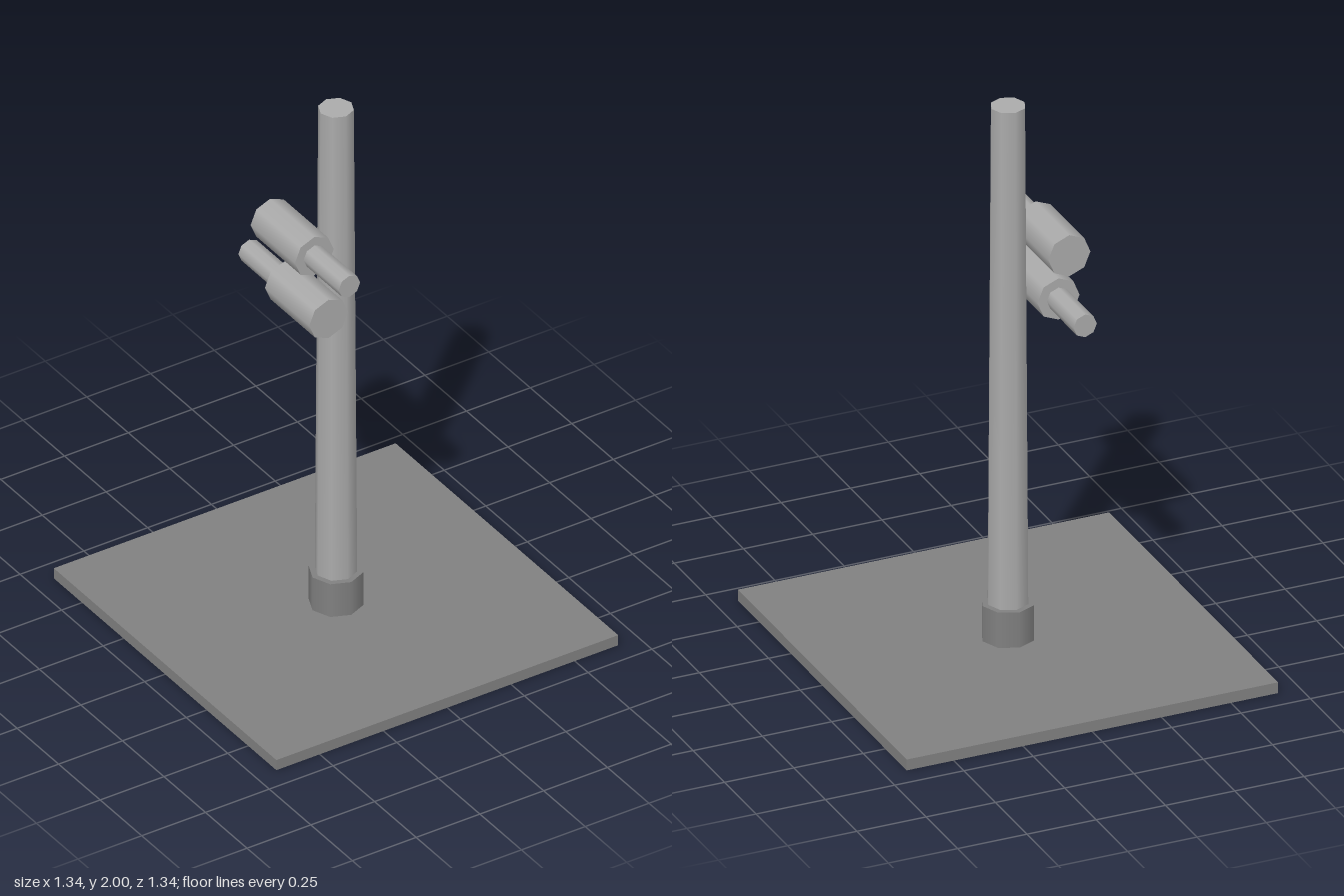
import * as THREE from 'three';

export function createModel() {
  const model = new THREE.Group();
  model.name = 'postWithBarrels';

  const darkGrey = new THREE.MeshStandardMaterial({ color: 0x808080, side: THREE.DoubleSide });
  darkGrey.name = 'dark grey';
  const lightGrey = new THREE.MeshStandardMaterial({ color: 0xaaaaaa });
  lightGrey.name = 'light grey';

  const add = (parent, name, geometry, material, x, y, z) => {
    const mesh = new THREE.Mesh(geometry, material);
    mesh.name = name;
    mesh.position.set(x, y, z);
    parent.add(mesh);
    return mesh;
  };

  // Eight-sided upright cylinder between two heights
  const upright = (name, rTop, rBottom, y0, y1, material) =>
    add(model, name, new THREE.CylinderGeometry(rTop, rBottom, y1 - y0, 8), material, 0, (y0 + y1) / 2, 0);

  // Base plate: a shallow tray, open underneath (the bottom face is left out)
  const plate = new THREE.BoxGeometry(1.34, 0.04, 1.34);
  const faces = Array.from(plate.index.array);
  faces.splice(18, 6);
  plate.setIndex(faces);
  plate.clearGroups();
  add(model, 'basePlate', plate, darkGrey, 0, 0.02, 0);

  // Collar and tapered post
  upright('collar', 0.092, 0.092, 0.038, 0.17, darkGrey);
  upright('post', 0.06, 0.072, 0.04, 2, lightGrey);

  // Two side barrels facing opposite ways, each with a thin nozzle
  const barrel = (name, y, zBack, zFront, zTip) => {
    const group = new THREE.Group();
    group.name = name;
    const rod = (part, radius, a, b) => {
      const geometry = new THREE.CylinderGeometry(radius, radius, Math.abs(b - a), 8);
      geometry.rotateX(Math.PI / 2);
      add(group, part, geometry, lightGrey, -0.135, y, (a + b) / 2);
    };
    rod('barrelBody', 0.076, zBack, zFront);
    rod('barrelNozzle', 0.042, zFront, zTip);
    model.add(group);
  };
  barrel('upperBarrel', 1.505, -0.19, 0.077, 0.288);
  barrel('lowerBarrel', 1.305, 0.163, -0.104, -0.316);

  return model;
}
